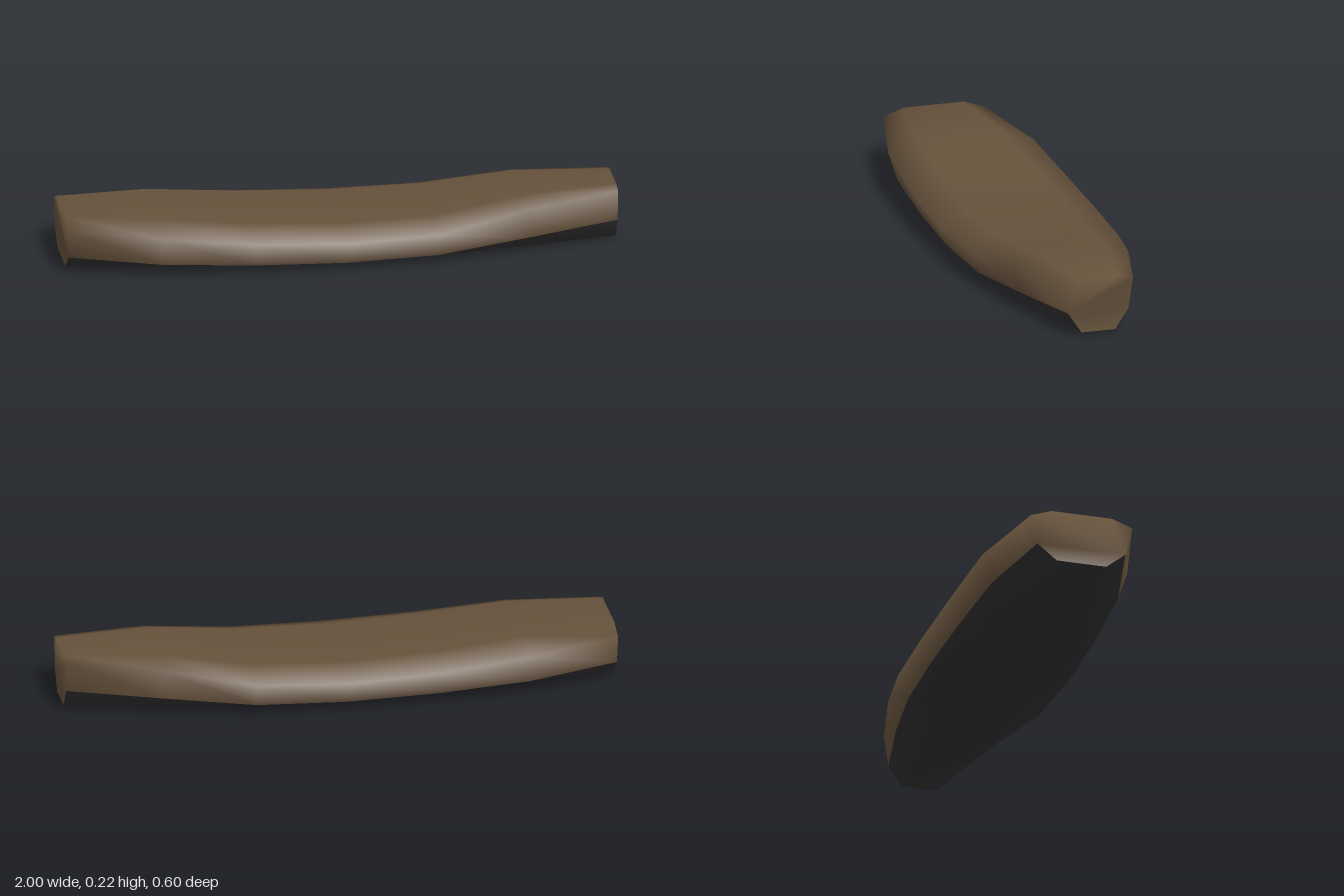
import * as THREE from 'three';

// Stations along the length: x, half width, top y, widest-edge y, chine y, bottom y
const STATIONS = [
  [-1, 0.19, 0.205, 0.178, 0.07, 0.012],
  [-0.67, 0.272, 0.197, 0.157, 0.05, 0.004],
  [-0.34, 0.292, 0.168, 0.128, 0.036, 0],
  [0, 0.298, 0.153, 0.115, 0.03, 0],
  [0.33, 0.281, 0.163, 0.125, 0.036, 0],
  [0.66, 0.217, 0.209, 0.18, 0.064, 0.003],
  [1, 0.13, 0.215, 0.203, 0.088, 0.012],
];
const N = 8;

// Eight-sided cross-section, from the front chine over the top and back underneath
function section([x, w, top, edge, chine, bottom]) {
  const half = [[0.87 * w, chine], [w, edge], [0.6 * w, top]];
  const loop = [
    ...half,
    ...half.map(([z, y]) => [-z, y]).reverse(),
    [-0.49 * w, bottom], [0.49 * w, bottom],
  ];
  return loop.flatMap(([z, y]) => [x, y, z]);
}

// Skin of strips first..last around the loop, with optional end caps
function skin(first, last, caps) {
  const index = [];
  for (let i = 0; i < STATIONS.length - 1; i++) {
    for (let j = first; j <= last; j++) {
      const a = i * N + j, b = i * N + (j + 1) % N;
      index.push(a, a + N, b, b, a + N, b + N);
    }
  }
  if (caps) {
    const end = (STATIONS.length - 1) * N;
    for (let j = 1; j < N - 1; j++) {
      index.push(0, j, j + 1, end, end + j + 1, end + j);
    }
  }
  const g = new THREE.BufferGeometry();
  g.setAttribute('position', new THREE.Float32BufferAttribute(STATIONS.flatMap(section), 3));
  g.setIndex(index);
  g.computeVertexNormals();
  return g;
}

export function createModel() {
  const brown = new THREE.MeshStandardMaterial({ name: 'dark brown', color: 0x66523c });
  const black = new THREE.MeshStandardMaterial({ name: 'charcoal', color: 0x333335 });
  const group = new THREE.Group();
  group.name = 'curvedBody';

  // Padded top, sides and ends
  const upper = new THREE.Mesh(skin(0, 4, true), brown);
  upper.name = 'upperBody';
  // Dark underside below the chine
  const under = new THREE.Mesh(skin(5, 7, false), black);
  under.name = 'underside';

  group.add(upper, under);
  return group;
}
